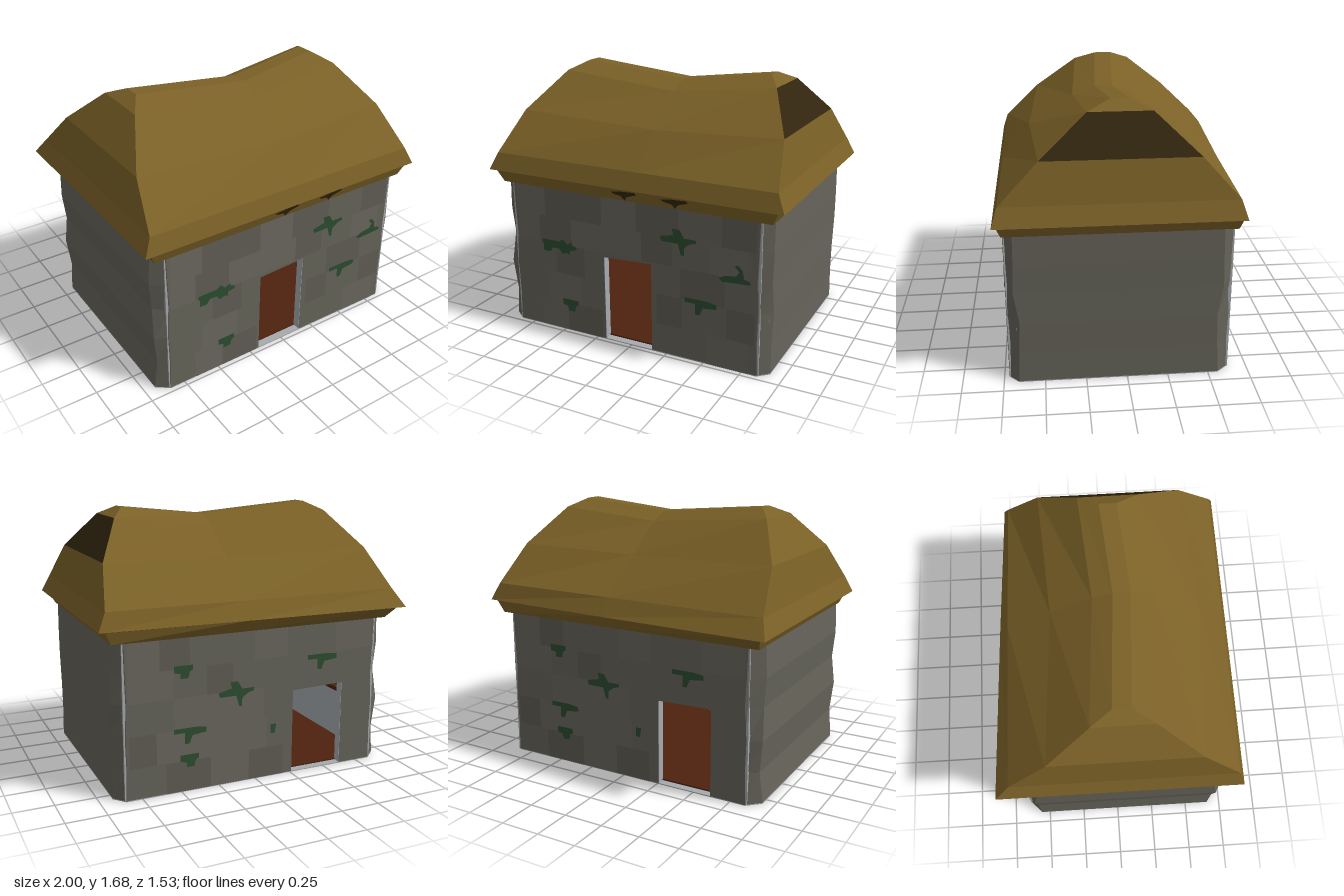
import * as THREE from 'three';

const mat = (name, color, extra = {}) => {
  const m = new THREE.MeshStandardMaterial({ color, flatShading: true, ...extra });
  m.name = name;
  return m;
};

// Collects flat quads (corners counter-clockwise) into one geometry with material groups
function quadGeometry(quads) {
  const pos = [], g = new THREE.BufferGeometry();
  quads.forEach(({ p: [a, b, c, d], m = 0 }, i) => {
    pos.push(...a, ...b, ...c, ...a, ...c, ...d);
    g.addGroup(i * 6, 6, m);
  });
  g.setAttribute('position', new THREE.Float32BufferAttribute(pos, 3));
  g.computeVertexNormals();
  return g;
}

const shapeOf = pts => new THREE.Shape(pts.map(([x, y]) => new THREE.Vector2(x, y)));

export function createModel() {
  const root = new THREE.Group();
  const thatch = mat('thatch', 0x7b6127), darkThatch = mat('dark thatch', 0x32260f);
  const stone = mat('stone', 0x66645a), lightStone = mat('light stone', 0x6a675d);
  const darkStone = mat('dark stone', 0x605d54), plaster = mat('plaster', 0xa6aaae);
  const wood = mat('wood', 0x4e220f), moss = mat('moss', 0x2c4d31, { side: THREE.DoubleSide });

  const add = (parent, name, geo, material, x = 0, y = 0, z = 0) => {
    const m = new THREE.Mesh(geo, material);
    m.name = name;
    m.position.set(x, y, z);
    parent.add(m);
    return m;
  };
  const box = (name, material, x0, x1, y0, y1, z0, z1) => add(root, name,
    new THREE.BoxGeometry(x1 - x0, y1 - y0, z1 - z0), material,
    (x0 + x1) / 2, (y0 + y1) / 2, (z0 + z1) / 2);

  // Wall levels: height, outer x at left and right, chamfer x, chamfer z wobble
  const ZF = 0.72, ZB = -0.635;
  const levels = [
    [0.005, 0.915, -0.93, 0.85, 0.0], [0.2, 0.913, -0.91, 0.845, -0.01],
    [0.4, 0.917, -0.93, 0.85, -0.02], [0.6, 0.915, -0.917, 0.84, 0.012],
    [0.78, 0.917, -0.932, 0.845, 0.005], [1.03, 0.915, -0.92, 0.85, 0.0],
  ];
  const wallRing = ([y, xr, xl, c, w]) => [
    [-c, y, ZF], [c, y, ZF], [xr, y, 0.66 + w], [xr, y, -0.56 - w],
    [c, y, ZB], [-c, y, ZB - w], [xl, y, -0.56 + w], [xl, y, 0.66 - w],
  ];
  const sideQuads = [];
  for (let i = 0; i + 1 < levels.length; i++) {
    const a = wallRing(levels[i]), b = wallRing(levels[i + 1]);
    for (const k of [1, 2, 3, 5, 6, 7]) {
      const n = (k + 1) % 8;
      sideQuads.push({ p: [a[k], a[n], b[n], b[k]] });
    }
  }
  add(root, 'sideWallsAndCorners', quadGeometry(sideQuads), stone);

  // Front and back walls with a doorway, plaster lining, stone blocks and moss
  let seed = 7;
  const rnd = () => (seed = (seed * 16807) % 2147483647) / 2147483647;
  const doorWall = (name, d0, d1, h0, h1, mossPatches) => {
    const g = new THREE.Group();
    g.name = name;
    const door = [[d0, 0.005], [d0, h0], [d1, h1], [d1, 0.005]];
    const right = levels.map(l => [l[3], l[0]]);
    const left = levels.map(l => [-l[3], l[0]]).reverse();
    add(g, 'stoneFace', new THREE.ShapeGeometry(shapeOf([...door, ...right, ...left])), stone);
    const lining = [...door, [0.86, 0.005], [0.86, 1.0], [-0.86, 1.0], [-0.86, 0.005]];
    add(g, 'plasterLining', new THREE.ExtrudeGeometry(shapeOf(lining),
      { depth: 0.052, bevelEnabled: false }), plaster, 0, 0, -0.055);
    for (let r = 0; r < 5; r++) {
      const y0 = levels[r][0], y1 = levels[r + 1][0];
      let x = -0.83;
      while (x < 0.7) {
        const w = Math.min(0.16 + rnd() * 0.14, 0.83 - x), pick = rnd();
        const clear = x > d1 || x + w < d0 || y0 > Math.max(h0, h1);
        if (clear && pick < 0.6) add(g, 'stoneBlock', new THREE.PlaneGeometry(w, y1 - y0),
          pick < 0.3 ? lightStone : darkStone, x + w / 2, (y0 + y1) / 2, 0.003);
        x += w;
      }
    }
    for (const [pts, x, y] of mossPatches)
      add(g, 'mossPatch', new THREE.ShapeGeometry(shapeOf(pts)), moss, x, y, 0.007);
    root.add(g);
    return g;
  };
  const wide = [[-0.13, 0.03], [-0.13, 0], [-0.12, 0], [-0.12, -0.05], [-0.07, -0.05], [-0.05, -0.02],
    [0, -0.02], [0.02, -0.05], [0.06, -0.04], [0.08, -0.05], [0.08, -0.02], [0.13, -0.01], [0.13, 0.01],
    [0.1, 0.02], [0.1, 0.04], [0.06, 0.02], [0.03, 0.05], [0, 0.03], [-0.04, 0.03]];
  const cross = [[-0.12, 0.01], [-0.11, -0.02], [0, -0.02], [0.02, -0.09], [0.04, -0.09], [0.04, -0.04],
    [0.08, -0.01], [0.12, 0], [0.12, 0.02], [0.04, 0.02], [0.01, 0.07], [-0.04, 0.07], [-0.03, 0.03]];
  const tee = [[-0.1, 0.03], [-0.1, 0], [-0.03, 0], [-0.03, -0.07], [0.0, -0.07], [0.02, -0.02],
    [0.11, -0.01], [0.11, 0.02], [0.05, 0.03]];
  const stub = [[-0.06, 0.04], [-0.06, 0], [-0.02, -0.01], [-0.02, -0.04], [0.03, -0.04],
    [0.04, 0], [0.06, 0.01], [0.06, 0.04]];
  const hook = [[-0.12, -0.03], [-0.1, -0.05], [0.08, -0.04], [0.08, -0.02], [0.04, -0.01],
    [0.03, 0.04], [0.0, 0.07], [-0.02, 0.06], [0.01, 0.03], [-0.01, 0], [-0.08, -0.01]];
  const dot = [[-0.02, 0.03], [-0.02, -0.03], [0.01, -0.03], [0.02, 0.03]];
  doorWall('frontWall', -0.185, 0.15, 0.57, 0.585, [[wide, -0.515, 0.59], [stub, -0.445, 0.185],
    [cross, 0.335, 0.775], [hook, 0.72, 0.62], [tee, 0.48, 0.39]]).position.z = ZF;
  const back = doorWall('backWall', 0.26, 0.62, 0.55, 0.56, [[stub, -0.485, 0.76], [cross, -0.14, 0.59],
    [tee, 0.46, 0.74], [tee, -0.45, 0.38], [stub, -0.45, 0.2], [dot, 0.12, 0.32]]);
  back.position.z = ZB;
  back.rotation.y = Math.PI;

  // Interior: side linings, footing ring, floor and shelves
  box('leftLining', plaster, 0.86, 0.9, 0.005, 1.0, -0.56, 0.66);
  box('rightLining', plaster, -0.9, -0.86, 0.005, 1.0, -0.56, 0.66);
  const foot = wallRing(levels[0]).map(([x, , z]) => [x, -z]);
  const footShape = shapeOf(foot);
  footShape.holes.push(new THREE.Path([[-0.86, 0.58], [0.86, 0.58], [0.86, -0.665], [-0.86, -0.665]]
    .map(([x, y]) => new THREE.Vector2(x, y))));
  add(root, 'footing', new THREE.ExtrudeGeometry(footShape, { depth: 0.006, bevelEnabled: false }),
    plaster).rotation.x = -Math.PI / 2;
  box('floor', wood, -0.865, 0.865, 0.001, 0.015, -0.585, 0.67);
  box('backShelf', wood, -0.13, 0.35, 0.402, 0.428, -0.58, -0.46);
  box('sideShelf', wood, -0.86, -0.76, 0.402, 0.428, -0.45, 0.1);

  // Roof rings: x, y, front z, back z at left and right, sag at mid, shift of mid z
  const rings = [
    [0.922, 0.968, 0.723, -0.642, -0.65, 0, 0],
    [0.957, 1.045, 0.75, -0.662, -0.73, 0, 0],
    [1.0, 1.05, 0.77, -0.675, -0.765, 0, 0],
    [0.95, 1.16, 0.735, -0.64, -0.675, 0, 0],
    [0.89, 1.4, 0.5, -0.42, -0.43, 0.02, 0.055],
    [0.735, 1.63, 0.22, -0.16, -0.16, 0.065, 0.055],
    [0.65, 1.685, 0.08, -0.03, -0.03, 0.065, 0.05],
  ].map(([x, y, f, br, bl, sag, s]) => [[-x, y, f], [0.08, y - sag, f + s], [x, y, f],
    [x, y, br], [0.08, y - sag, (br + bl) / 2 + s], [-x, y, bl]]);
  const roofQuads = [];
  for (let i = 0; i + 1 < rings.length; i++) {
    const a = rings[i], b = rings[i + 1];
    for (let k = 0; k < 6; k++) {
      const n = (k + 1) % 6;
      roofQuads.push({ p: [a[k], a[n], b[n], b[k]], m: i === 4 && k === 2 ? 1 : 0 });
    }
  }
  const t = rings[6];
  roofQuads.push({ p: [t[0], t[1], t[4], t[5]] }, { p: [t[1], t[2], t[3], t[4]] });
  add(root, 'thatchedRoof', quadGeometry(roofQuads), [thatch, darkThatch]);

  // Worn dark patches under the front eave
  const worn = [[-0.09, 0.06], [-0.07, 0.045], [-0.02, 0.035], [0, 0.005], [0.02, 0.035],
    [0.09, 0.06], [0.08, 0.075], [-0.02, 0.07]];
  for (const x of [-0.02, 0.32]) {
    const p = add(root, 'wornThatch', new THREE.ShapeGeometry(shapeOf(worn)), darkThatch, x, 0.966, 0.728);
    p.rotation.x = 0.34;
  }
  return root;
}
